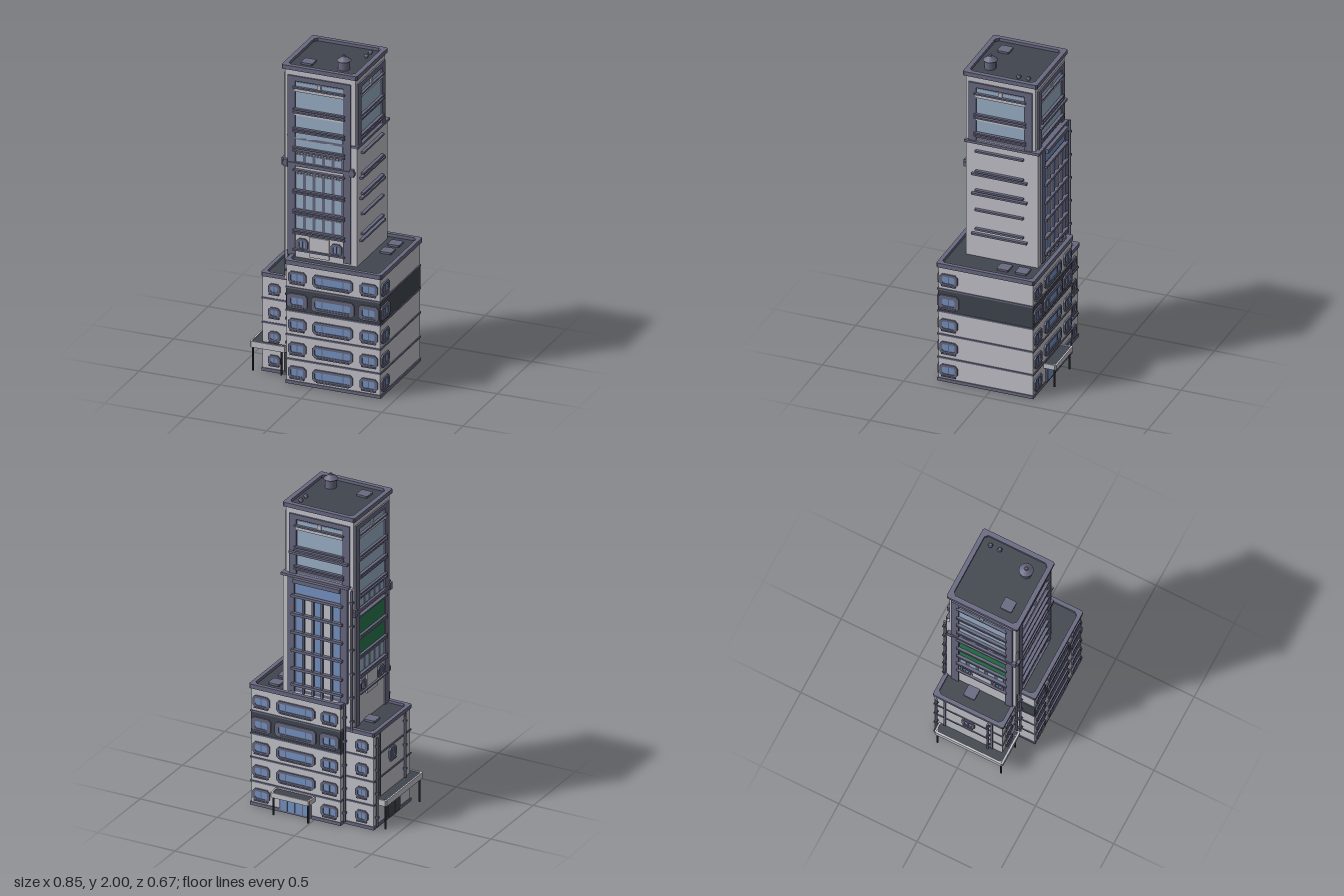
import * as THREE from 'three';

const mat = (name, color) => Object.assign(new THREE.MeshStandardMaterial({ color }), { name });

export function createModel() {
  const wall = mat('pale wall', 0xc6c6ce), trim = mat('slate trim', 0x696a82), dark = mat('dark roof', 0x41464f);
  const glass = mat('blue glass', 0x7795c4), sky = mat('pale glass', 0x9db2cb), green = mat('green glass', 0x2c7a50);
  const black = mat('black post', 0x2a2c32);
  const root = new THREE.Group();
  root.name = 'building';

  const add = (parent, name, geo, m, x = 0, y = 0, z = 0) => {
    const mesh = new THREE.Mesh(geo, m);
    mesh.name = name;
    mesh.position.set(x, y, z);
    parent.add(mesh);
    return mesh;
  };
  // box from its limits
  const box = (p, name, m, x0, x1, y0, y1, z0, z1) =>
    add(p, name, new THREE.BoxGeometry(x1 - x0, y1 - y0, z1 - z0), m, (x0 + x1) / 2, (y0 + y1) / 2, (z0 + z1) / 2);
  const cyl = (p, name, m, r, x, y0, y1, z, r2 = r, n = 10) =>
    add(p, name, new THREE.CylinderGeometry(r2, r, y1 - y0, n), m, x, (y0 + y1) / 2, z);

  // rectangle with cut corners
  const cutRect = (w, h, c, Type = THREE.Shape) => {
    const a = w / 2, b = h / 2;
    return new Type([[-a + c, -b], [a - c, -b], [a, -b + c], [a, b - c], [a - c, b], [-a + c, b], [-a, b - c], [-a, -b + c]]
      .map(([x, y]) => new THREE.Vector2(x, y)));
  };
  const plate = (shape, depth) => new THREE.ExtrudeGeometry(shape, { depth, bevelEnabled: false });
  const ring = (w, h, c, iw, ih, ic, depth) => {
    const s = cutRect(w, h, c);
    s.holes.push(cutRect(iw, ih, ic, THREE.Path));
    return plate(s, depth);
  };

  // wall frame: u runs to the right seen from outside, z points outwards
  const face = (name, turn, x, z) => {
    const g = new THREE.Group();
    g.name = name;
    g.rotation.y = turn * Math.PI / 2;
    g.position.set(x, 0, z);
    root.add(g);
    return g;
  };

  // roof with parapet
  const roof = (name, x0, x1, z0, z1, y, rim, h) => {
    const w = x1 - x0, d = z1 - z0, cx = (x0 + x1) / 2, cz = (z0 + z1) / 2;
    const r = add(root, name + 'Parapet', ring(w, d, 0.008, w - 2 * rim, d - 2 * rim, 0.018, h), trim, cx, y - h, cz);
    r.rotation.x = -Math.PI / 2;
    box(root, name + 'RoofDeck', dark, x0 + 0.015, x1 - 0.015, y - h - 0.004, y - h + 0.008, z0 + 0.015, z1 - 0.015);
  };

  // framed window with cut corners, mullions and sill
  const windowUnit = (f, u, y, w, h, big = 0) => {
    add(f, 'windowFrame', ring(w + big, h + big, 0.016, w - 0.032, h - 0.03, 0.008, 0.009), trim, u, y, 0);
    add(f, 'windowPane', plate(cutRect(w - 0.03, h - 0.028, 0.008), 0.004), glass, u, y, 0);
    const bars = w > 0.15 ? [-w * 0.26, w * 0.26] : [0];
    for (const b of bars) box(f, 'mullion', trim, u + b - 0.003, u + b + 0.003, y - h / 2 + 0.01, y + h / 2 - 0.01, 0, 0.007);
    box(f, 'sill', trim, u - w * 0.4, u + w * 0.4, y - h / 2 - 0.003, y - h / 2 + 0.005, 0, 0.013);
  };

  // ---- podium ----
  box(root, 'podium', wall, -0.165, 0.412, 0.01, 0.74, -0.258, 0.322);
  box(root, 'podiumDarkFloor', dark, -0.167, 0.414, 0.452, 0.592, -0.26, 0.324);
  box(root, 'podiumPlinth', trim, -0.17, 0.418, 0, 0.02, -0.263, 0.328);
  for (const y of [0.152, 0.302, 0.452, 0.595])
    box(root, 'podiumFloorBand', trim, -0.17, 0.418, y - 0.005, y + 0.005, -0.263, 0.328);
  roof('podium', -0.175, 0.424, -0.268, 0.332, 0.765, 0.024, 0.027);

  const floors = [0.075, 0.222, 0.37, 0.517, 0.662];
  const pf = face('podiumFront', 0, 0, 0.323), pr = face('podiumRight', 1, 0.413, 0), pb = face('podiumBack', 2, 0, -0.259);
  floors.forEach((y, i) => {
    const big = i === 3 ? 0.016 : 0;
    windowUnit(pr, -0.258, y, 0.11, 0.075, big);
    for (const [f, s] of [[pf, 1], [pb, -1]]) {
      windowUnit(f, -0.097 * s, y, 0.11, 0.075, big);
      windowUnit(f, 0.345 * s, y, 0.11, 0.075, big);
      if (s > 0 || i > 0) windowUnit(f, 0.122 * s, y, 0.25, 0.075, big);
    }
  });
  // rear entrance
  box(pb, 'entranceFrame', trim, -0.225, -0.02, 0.01, 0.125, 0, 0.008);
  for (let i = 0; i < 4; i++) box(pb, 'entranceDoor', glass, -0.215 + i * 0.048, -0.173 + i * 0.048, 0.015, 0.112, 0, 0.011);

  // ---- annex ----
  box(root, 'annex', wall, -0.358, -0.16, 0.01, 0.59, -0.218, 0.215);
  box(root, 'annexPlinth', trim, -0.363, -0.16, 0, 0.02, -0.223, 0.22);
  for (const y of [0.152, 0.302, 0.452])
    box(root, 'annexFloorBand', trim, -0.363, -0.16, y - 0.005, y + 0.005, -0.223, 0.22);
  roof('annex', -0.366, -0.165, -0.228, 0.224, 0.612, 0.024, 0.024);
  const af = face('annexFront', 0, 0, 0.216), ab = face('annexBack', 2, 0, -0.219), al = face('annexLeftWall', 3, -0.359, 0);
  for (const y of floors.slice(0, 4)) {
    windowUnit(af, -0.285, y, 0.075, 0.065);
    windowUnit(ab, 0.285, y, 0.08, 0.07);
  }
  windowUnit(al, 0, 0.4, 0.08, 0.08);
  box(al, 'sideDoorFrame', trim, -0.07, 0.09, 0.01, 0.13, 0, 0.007);
  for (const u of [-0.058, 0.014]) box(al, 'sideDoor', dark, u, u + 0.064, 0.012, 0.12, 0, 0.01);
  box(af, 'frontDoor', dark, -0.222, -0.172, 0.01, 0.145, 0, 0.008);
  for (const u of [-0.15, 0.15]) box(al, 'wallStrip', trim, u - 0.006, u + 0.006, 0.19, 0.59, 0, 0.008);

  // drainpipes
  for (const [x, z, y0, y1] of [[-0.373, -0.2, 0.02, 0.58], [-0.373, 0.13, 0.19, 0.58], [-0.182, 0.24, 0.15, 0.76], [-0.2, 0.226, 0.15, 0.78], [-0.18, -0.235, 0.02, 0.76], [-0.222, -0.225, 0.6, 1.48]]) {
    cyl(root, 'drainpipe', trim, 0.007, x, y0, y1, z, 0.007, 8);
    for (let y = y0 + 0.05; y < y1; y += 0.15) box(root, 'pipeClamp', trim, x - 0.01, x + 0.01, y, y + 0.012, z - 0.01, z + 0.01);
  }

  // canopies
  const canopy = (name, x0, x1, z0, z1, y0, y1, posts) => {
    const w = x1 - x0, d = z1 - z0;
    add(root, name + 'Rim', ring(w, d, 0.008, w - 0.02, d - 0.02, 0.002, y1 - y0), wall, (x0 + x1) / 2, y0, (z0 + z1) / 2)
      .rotation.x = -Math.PI / 2;
    box(root, name + 'Underside', wall, x0 + 0.008, x1 - 0.008, y0 + 0.002, y1 - 0.012, z0 + 0.008, z1 - 0.008);
    box(root, name + 'Deck', dark, x0 + 0.009, x1 - 0.009, y1 - 0.012, y1 - 0.006, z0 + 0.009, z1 - 0.009);
    for (const [x, z] of posts) {
      cyl(root, name + 'Post', black, 0.006, x, 0, y0 + 0.005, z, 0.006, 8);
      cyl(root, name + 'PostCap', wall, 0.004, x, y1 - 0.007, y1, z, 0.004, 8);
    }
  };
  canopy('sideCanopy', -0.425, -0.2, -0.188, 0.25, 0.148, 0.185, [[-0.41, -0.172], [-0.41, 0.234], [-0.235, 0.234]]);
  canopy('rearCanopy', -0.004, 0.25, -0.334, -0.25, 0.115, 0.146, [[0.01, -0.318], [0.236, -0.318]]);

  // ---- tower ----
  box(root, 'towerLower', wall, -0.215, 0.23, 0.6, 1.485, -0.216, 0.228);
  box(root, 'towerUpper', wall, -0.215, 0.222, 1.48, 1.9, -0.196, 0.23);
  box(root, 'towerSetbackCap', trim, -0.2, 0.24, 1.478, 1.494, -0.226, 0.235);
  roof('tower', -0.23, 0.236, -0.21, 0.246, 1.932, 0.028, 0.026);

  const fin = (f, c, y, hw = 0.16, out = 0.02, t = 0.005) => box(f, 'fin', trim, c - hw, c + hw, y - t, y + t, 0, out);
  // tall frame, with the large top windows inside
  const bay = (f, c, y0) => {
    for (const s of [-1, 1]) box(f, 'bayJamb', trim, c + s * 0.172 - 0.023, c + s * 0.172 + 0.023, y0, 1.87, 0, 0.01);
    box(f, 'bayHead', trim, c - 0.15, c + 0.15, 1.84, 1.87, 0, 0.01);
    box(f, 'bayBacking', trim, c - 0.15, c + 0.15, 1.5, 1.84, 0, 0.002);
    box(f, 'topWindow', sky, c - 0.145, c + 0.145, 1.67, 1.832, 0, 0.004);
    box(f, 'topRail', wall, c - 0.15, c + 0.15, 1.776, 1.792, 0, 0.012);
    box(f, 'topLamp', wall, c - 0.012, c + 0.012, 1.808, 1.835, 0, 0.012);
    box(f, 'midWindow', sky, c - 0.145, c + 0.145, 1.555, 1.63, 0, 0.004);
    box(f, 'midRail', wall, c - 0.15, c + 0.15, 1.628, 1.64, 0, 0.01);
    for (const y of [1.802, 1.668, 1.648, 1.547, 1.53]) fin(f, c, y);
  };
  // lower rows of windows in a tall bay
  const rows = (f, c, tinted) => {
    box(f, 'midWindow', sky, c - 0.145, c + 0.145, 1.435, 1.52, 0, 0.005);
    for (const [y0, y1] of [[1.345, 1.385], [1.175, 1.265], [1.055, 1.14], [0.93, 1.005]]) {
      box(f, 'rowBacking', trim, c - 0.15, c + 0.15, y0 - 0.012, y1 + 0.008, 0, 0.002);
      if (tinted && y0 < 1.3 && y0 > 0.95) box(f, 'tintedWindow', green, c - 0.145, c + 0.145, y0 - 0.01, y1 + 0.006, 0, 0.005);
      else for (let i = 0; i < 5; i++) box(f, 'rowWindow', sky, c - 0.142 + i * 0.059, c - 0.102 + i * 0.059, y0, y1, 0, 0.005);
    }
    for (const y of [1.43, 1.41, 1.29, 1.165, 1.15, 1.04, 1.025, 0.917, 0.9, 0.797]) fin(f, c, y);
    box(f, 'belt', trim, c - 0.222, c + 0.222, 1.315, 1.335, 0, 0.016);
    for (const s of [-1, 1]) {
      box(f, 'beltBracket', trim, c + s * 0.205 - 0.012, c + s * 0.205 + 0.012, 1.305, 1.35, 0, 0.018);
      windowUnit(f, c + s * 0.105, 0.83, 0.07, 0.075);
    }
    box(f, 'terraceDoor', wall, c - 0.06, c + 0.06, 0.76, 0.885, 0, 0.008);
  };
  const tf = face('towerFront', 0, 0, 0.23), tl = face('towerLeftWall', 3, -0.216, 0);
  const tr = face('towerRight', 1, 0.223, 0), tb = face('towerBack', 2, 0, -0.197);
  bay(tf, 0, 0.76);
  rows(tf, 0, false);
  bay(tl, 0.015, 0.6);
  rows(tl, 0.015, true);
  bay(tr, -0.017, 1.49);
  bay(tb, 0, 1.49);
  fin(tb, 0, 1.632, 0.19, 0.028, 0.007);

  // fins on the blank side wall
  for (const [y, hw] of [[1.432, 0.148], [1.302, 0.148], [1.282, 0.17], [1.178, 0.148], [1.155, 0.17], [1.052, 0.148], [0.928, 0.148], [0.895, 0.17]])
    fin(tr, -0.02, y, hw, 0.026, 0.006);

  // rear bay with a grid of rails over tall windows
  const rb = face('rearBay', 2, 0, -0.217);
  for (const s of [-1, 1]) box(rb, 'rearJamb', trim, s * 0.172 - 0.022, s * 0.172 + 0.022, 0.76, 1.48, 0, 0.012);
  box(rb, 'rearHead', trim, -0.15, 0.15, 1.455, 1.48, 0, 0.03);
  box(rb, 'rearTopWindow', glass, -0.148, 0.148, 1.385, 1.452, 0, 0.005);
  box(rb, 'rearBacking', trim, -0.15, 0.15, 0.76, 1.385, 0, 0.002);
  for (let i = 0; i < 5; i++) {
    const u = -0.12 + i * 0.06;
    box(rb, 'rearStrip', i % 2 ? wall : glass, u - 0.019, u + 0.019, 0.78, 1.36, 0, 0.005);
    if (i < 4) box(rb, 'rearMullion', trim, u + 0.024, u + 0.036, 0.76, 1.37, 0, 0.016);
  }
  for (const y of [1.37, 1.255, 1.14, 1.025, 0.91, 0.81]) fin(rb, 0, y, 0.165, 0.026, 0.008);

  // ---- rooftop equipment ----
  cyl(root, 'waterTank', trim, 0.034, 0.108, 1.91, 1.97, 0.128, 0.034, 12);
  cyl(root, 'waterTankRoof', trim, 0.043, 0.108, 1.968, 1.992, 0.128, 0.012, 12);
  cyl(root, 'waterTankKnob', trim, 0.011, 0.108, 1.99, 2, 0.128, 0.009, 10);
  for (const z of [-0.128, -0.069]) {
    cyl(root, 'roofVent', trim, 0.009, 0.162, 1.91, 1.93, z);
    cyl(root, 'roofVentCap', trim, 0.015, 0.162, 1.926, 1.938, z, 0.009);
  }
  const hatch = (x, y, z) => add(root, 'roofHatch', plate(cutRect(0.072, 0.072, 0.006), 0.014), trim, x, y, z).rotation.x = -Math.PI / 2;
  hatch(-0.111, 1.912, 0.127);
  hatch(0.306, 0.744, -0.154);
  hatch(0.306, 0.744, -0.041);
  hatch(-0.25, 0.594, -0.037);
  return root;
}
